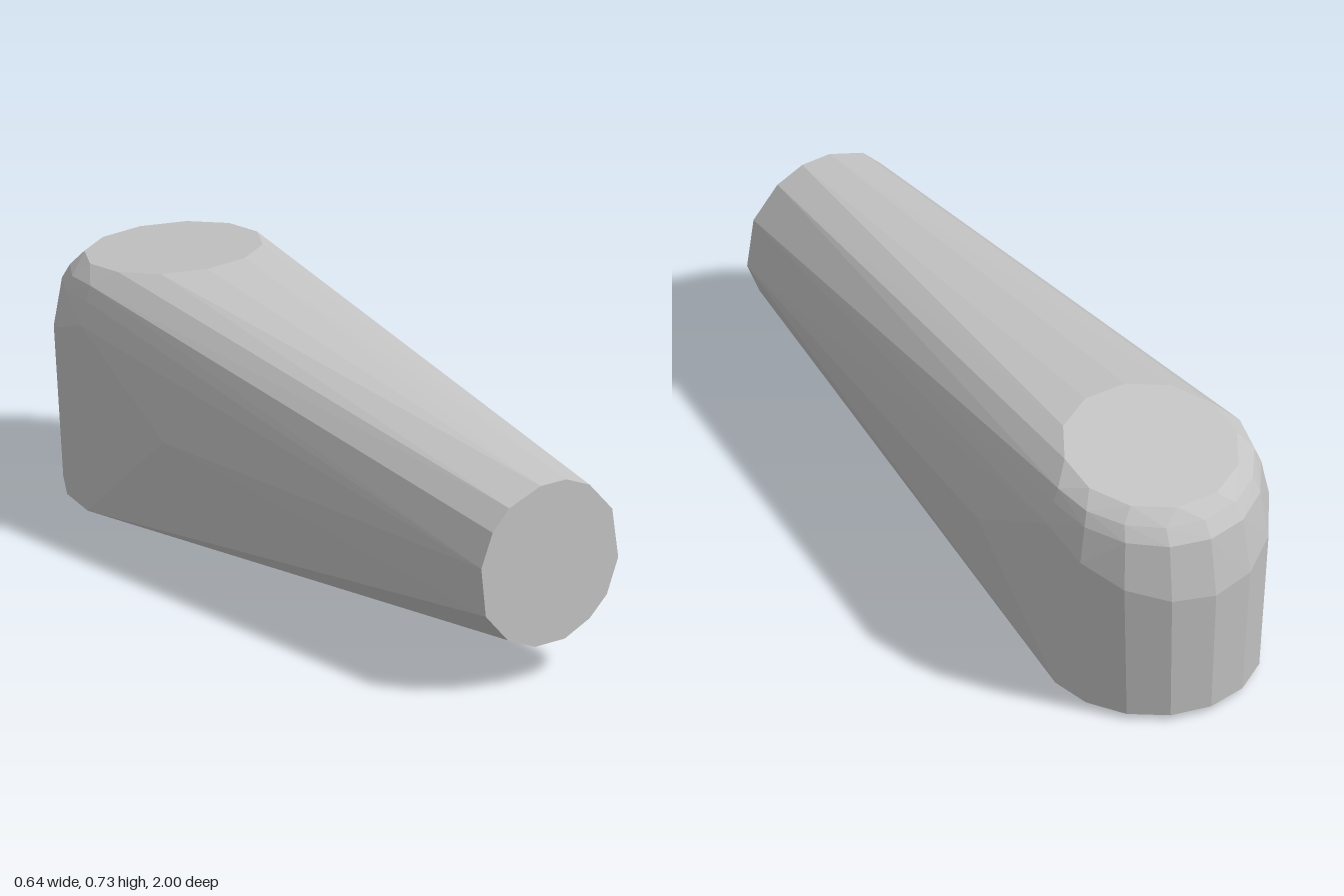
import * as THREE from 'three';
import { ConvexGeometry } from 'three/addons/geometries/ConvexGeometry.js';

// Points of a horizontal arc about the rounded end; angle 0 = left, 90 = back.
// height(z) tilts the arc.
function arc(rx, rz, cz, height, from, to, count) {
  const pts = [];
  for (let i = 0; i <= count; i++) {
    const a = THREE.MathUtils.degToRad(from + (to - from) * i / count);
    const z = cz - rz * Math.sin(a);
    pts.push(new THREE.Vector3(rx * Math.cos(a), height(z), z));
  }
  return pts;
}

export function createModel() {
  const group = new THREE.Group();
  group.name = 'taperedBlock';
  const grey = new THREE.MeshStandardMaterial({ color: 0xc4c4c4, flatShading: true });
  grey.name = 'lightGrey';

  // Round flat face at the narrow front end
  const frontFace = [
    [0.055, 0.573], [0.133, 0.538], [0.208, 0.45], [0.228, 0.305], [0.19, 0.207],
    [0.133, 0.152], [0.05, 0.114], [-0.05, 0.115], [-0.14, 0.157], [-0.213, 0.243],
    [-0.228, 0.385], [-0.19, 0.48], [-0.135, 0.537], [-0.03, 0.575],
  ].map(([x, y]) => new THREE.Vector3(x, y, 1));

  // Sloping top facet, bevel rings, widest ring and foot of the rounded back end
  const topFacet = arc(0.24, 0.24, -0.67, z => 0.728 + 0.138 * (z + 0.43), 15, 375, 12);
  const upperBevel = arc(0.285, 0.285, -0.66, z => 0.665 + 0.13 * (z + 0.62), 0, 180, 8);
  const lowerBevel = arc(0.3, 0.315, -0.66, z => 0.62 + 0.13 * (z + 0.66), 0, 180, 8);
  const widest = arc(0.32, 0.34, -0.66, z => 0.555 + 0.44 * (z + 0.66), 0, 180, 8);
  const foot = arc(0.294, 0.315, -0.66, z => 0.012 - 0.02 * (z + 0.66), 0, 180, 8);

  // Flat underside and the slight bulge of the flanks
  const sides = [];
  for (const s of [1, -1]) {
    sides.push(
      new THREE.Vector3(s * 0.07, 0, -0.42),
      new THREE.Vector3(s * 0.23, 0, -0.54),
      new THREE.Vector3(s * 0.22, 0, -0.75),
      new THREE.Vector3(s * 0.313, 0.335, -0.3),
    );
  }

  const body = new THREE.Mesh(
    new ConvexGeometry([...frontFace, ...topFacet, ...upperBevel, ...lowerBevel, ...widest, ...foot, ...sides]),
    grey,
  );
  body.name = 'body';
  group.add(body);
  return group;
}
